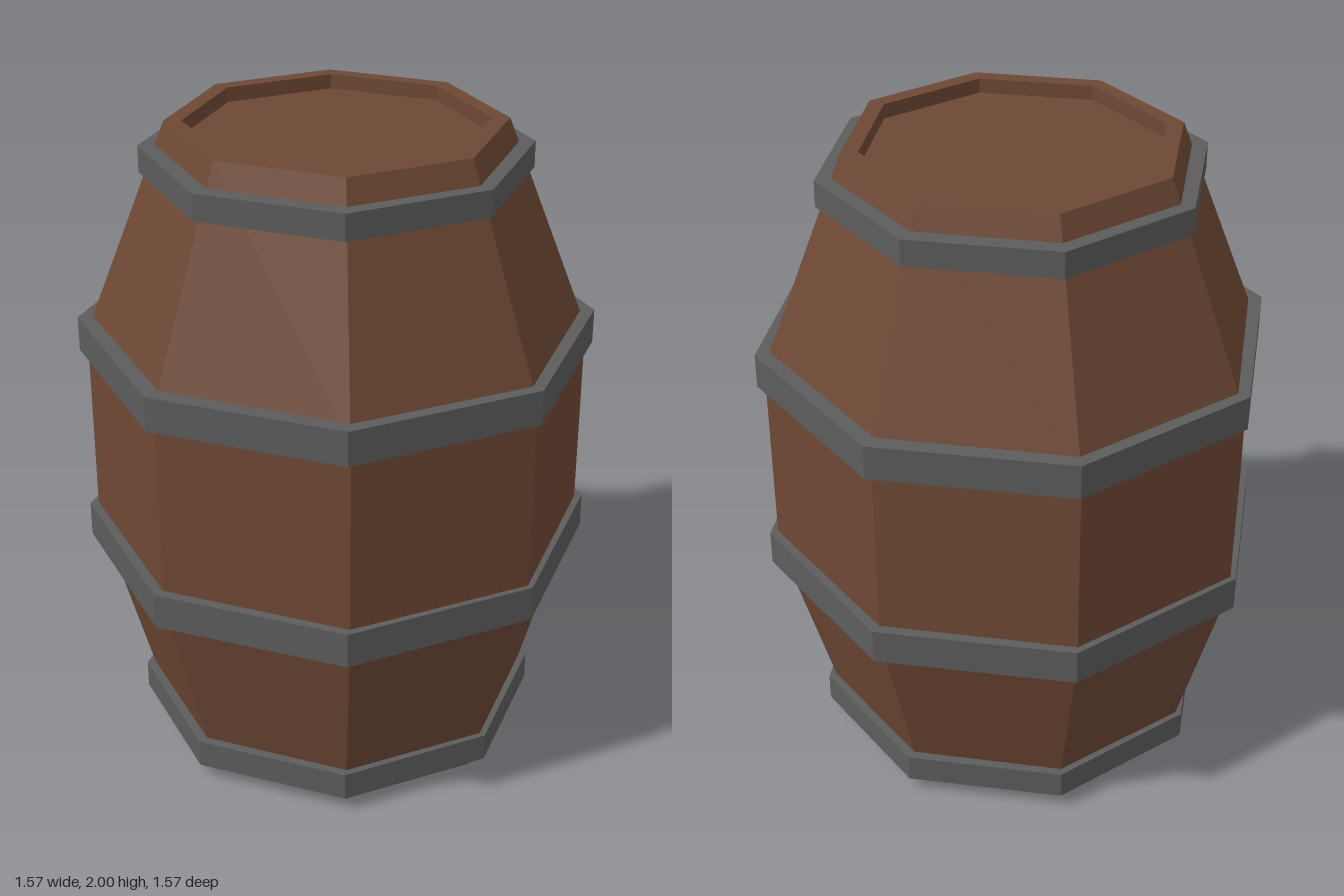
import * as THREE from 'three';

const SIDES = 8;
const wood = new THREE.MeshStandardMaterial({ color: 0x6e4834, flatShading: true });
const iron = new THREE.MeshStandardMaterial({ color: 0x5c5c5c, flatShading: true });

// Eight-sided turned part from [radius, height] pairs, listed bottom to top on the outside
function turned(name, profile, material) {
  const points = profile.map(([r, y]) => new THREE.Vector2(r, y));
  const mesh = new THREE.Mesh(new THREE.LatheGeometry(points, SIDES), material);
  mesh.name = name;
  return mesh;
}

export function createModel() {
  const barrel = new THREE.Group();
  barrel.name = 'barrel';

  // Staves with recessed bottom and lid, all one closed shell
  const body = turned('body', [
    [0, 0.05], [0.515, 0.05], [0.515, 0],
    [0.572, 0], [0.765, 0.69], [0.765, 1.34], [0.505, 2],
    [0.453, 2], [0.453, 1.955], [0, 1.955],
  ], wood);
  body.scale.x = 0.98;
  barrel.add(body);

  // Iron hoops: name, inner radius, outer radius, bottom, top
  const hoops = [
    ['bottomHoop', 0.56, 0.63, 0.05, 0.138],
    ['lowerHoop', 0.72, 0.783, 0.637, 0.747],
    ['upperHoop', 0.72, 0.783, 1.283, 1.39],
    ['topHoop', 0.5, 0.578, 1.848, 1.928],
  ];
  for (const [name, inner, outer, y0, y1] of hoops) {
    barrel.add(turned(name, [[inner, y0], [outer, y0], [outer, y1], [inner, y1], [inner, y0]], iron));
  }
  return barrel;
}
